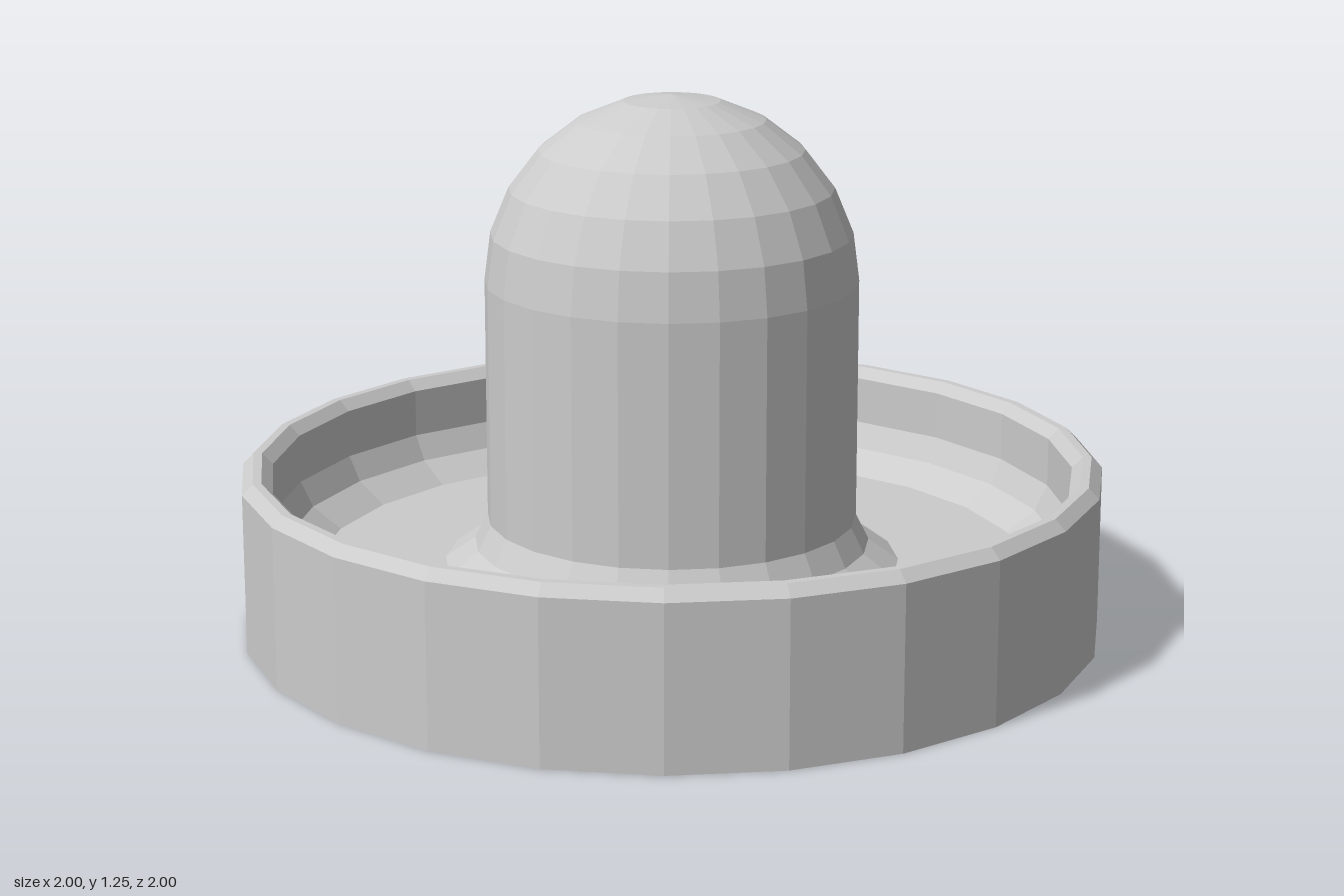
import * as THREE from 'three';

const SIDES = 24;
const KNOB_R = 0.43, WALL_R = 0.93, DOME_Y = 0.82;

// Shared fillet section: [distance from the wall, height]
const FILLET = [[0, 0.26], [0.03, 0.2], [0.1, 0.15]];

// Quarter circle from the column's side up to the crown
function dome(steps) {
  return Array.from({ length: steps + 1 }, (_, i) => {
    const a = Math.PI / 2 * i / steps;
    return [KNOB_R * Math.cos(a), DOME_Y + KNOB_R * Math.sin(a)];
  });
}

function turned(name, profile, material) {
  const points = profile.map(([x, y]) => new THREE.Vector2(Math.max(x, 0), y));
  const mesh = new THREE.Mesh(new THREE.LatheGeometry(points, SIDES), material);
  mesh.name = name;
  return mesh;
}

export function createModel() {
  const group = new THREE.Group();
  group.name = 'mallet';
  const material = new THREE.MeshStandardMaterial({ color: 0xcccccc, flatShading: true });

  const wallFillet = FILLET.map(([d, y]) => [WALL_R - d, y]);
  const knobFillet = FILLET.map(([d, y]) => [KNOB_R + d, y]).reverse();

  // Dish: flat underside, outer wall, chamfered rim, filleted inner wall, floor
  group.add(turned('base', [
    [0, 0], [1, 0], [1, 0.375], [0.975, 0.4], [0.955, 0.4], [WALL_R, 0.375],
    ...wallFillet, knobFillet[0],
  ], material));

  // Knob: fillet rising from the floor, straight column, hemispherical top
  group.add(turned('handle', [...knobFillet, ...dome(6)], material));

  return group;
}
